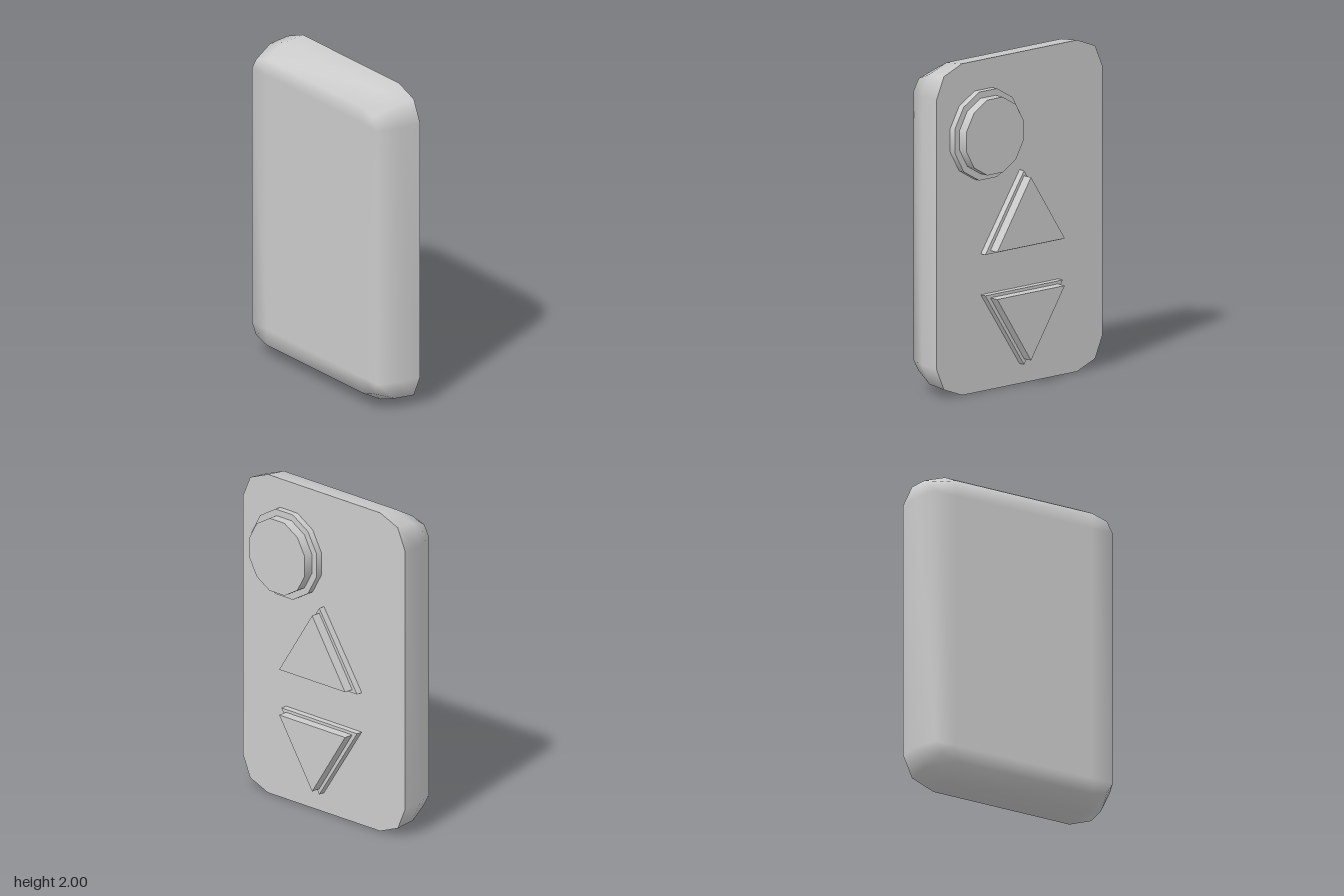
import * as THREE from 'three';
import { mergeVertices } from 'three/addons/utils/BufferGeometryUtils.js';

const material = new THREE.MeshStandardMaterial({ color: 0xcccccc });
const BACK = -0.085, STEP = -0.125, TOP = -0.185; // depth of back panel, plate and cap
const CX = 0.46, CY = 0.81; // centres of the rounded corners

// Rounded rectangle with three points per corner, counter-clockwise
function outline(hx, hy) {
  const points = [];
  for (let q = 0; q < 4; q++) {
    const sx = q === 0 || q === 3 ? 1 : -1, sy = q < 2 ? 1 : -1;
    for (let i = 0; i < 3; i++) {
      const a = (q + i / 2) * Math.PI / 2;
      points.push(new THREE.Vector2(
        sx * CX + (hx - CX) * Math.cos(a), 1 + sy * CY + (hy - CY) * Math.sin(a)));
    }
  }
  return points;
}

// Domed front shell lofted through the outlines
function shellGeometry() {
  const loops = [[0.665, 1, BACK], [0.655, 0.985, 0.05], [0.6, 0.91, 0.185], [CX, CY, 0.185]];
  const n = 12, pos = [], index = [];
  for (const [hx, hy, z] of loops) for (const p of outline(hx, hy)) pos.push(p.x, p.y, z);
  for (let k = 0; k < loops.length - 1; k++) {
    for (let i = 0; i < n; i++) {
      const j = (i + 1) % n, a = k * n + i, b = k * n + j;
      index.push(a, b, b + n, a, b + n, a + n);
    }
  }
  // Flat middle of the front
  const last = (loops.length - 1) * n;
  pos.push(0, 1, 0.185);
  for (let i = 0; i < n; i++) index.push(last + i, last + (i + 1) % n, last + n);
  let geo = new THREE.BufferGeometry();
  geo.setAttribute('position', new THREE.Float32BufferAttribute(pos, 3));
  geo.setIndex(index);
  geo = mergeVertices(geo, 1e-4);
  geo.computeVertexNormals();
  return geo;
}

function discGeometry(radius, z0, z1) {
  return new THREE.CylinderGeometry(radius, radius, z0 - z1, 12)
    .rotateY(Math.PI / 12).rotateX(Math.PI / 2).translate(0.288, 1.553, (z0 + z1) / 2);
}

function triangleGeometry(half, base, apex, z0, z1) {
  const shape = new THREE.Shape([
    new THREE.Vector2(-half, base), new THREE.Vector2(half, base), new THREE.Vector2(0, apex)]);
  return new THREE.ExtrudeGeometry(shape, { depth: z0 - z1, bevelEnabled: false }).translate(0, 0, z1);
}

export function createModel() {
  const model = new THREE.Group();
  model.name = 'remoteControl';
  const add = (name, geometry, parent = model) => {
    const mesh = new THREE.Mesh(geometry, material);
    mesh.name = name;
    parent.add(mesh);
    return mesh;
  };

  // Case
  add('caseShell', shellGeometry());
  add('backPanel', new THREE.ShapeGeometry(new THREE.Shape(outline(0.665, 1)))
    .rotateY(Math.PI).translate(0, 0, BACK));

  // Each button is a wide plate with a narrower cap
  const button = (name, plate, cap) => {
    const group = new THREE.Group();
    group.name = name;
    add(name + 'Plate', plate, group);
    add(name + 'Cap', cap, group);
    model.add(group);
  };
  button('roundButton', discGeometry(0.276, BACK, STEP), discGeometry(0.2355, STEP, TOP));
  button('upButton', triangleGeometry(0.31, 0.83, 1.29, BACK, STEP),
    triangleGeometry(0.27, 0.85, 1.26, STEP, TOP));
  button('downButton', triangleGeometry(0.31, 0.583, 0.12, BACK, STEP),
    triangleGeometry(0.27, 0.565, 0.155, STEP, TOP));

  return model;
}
